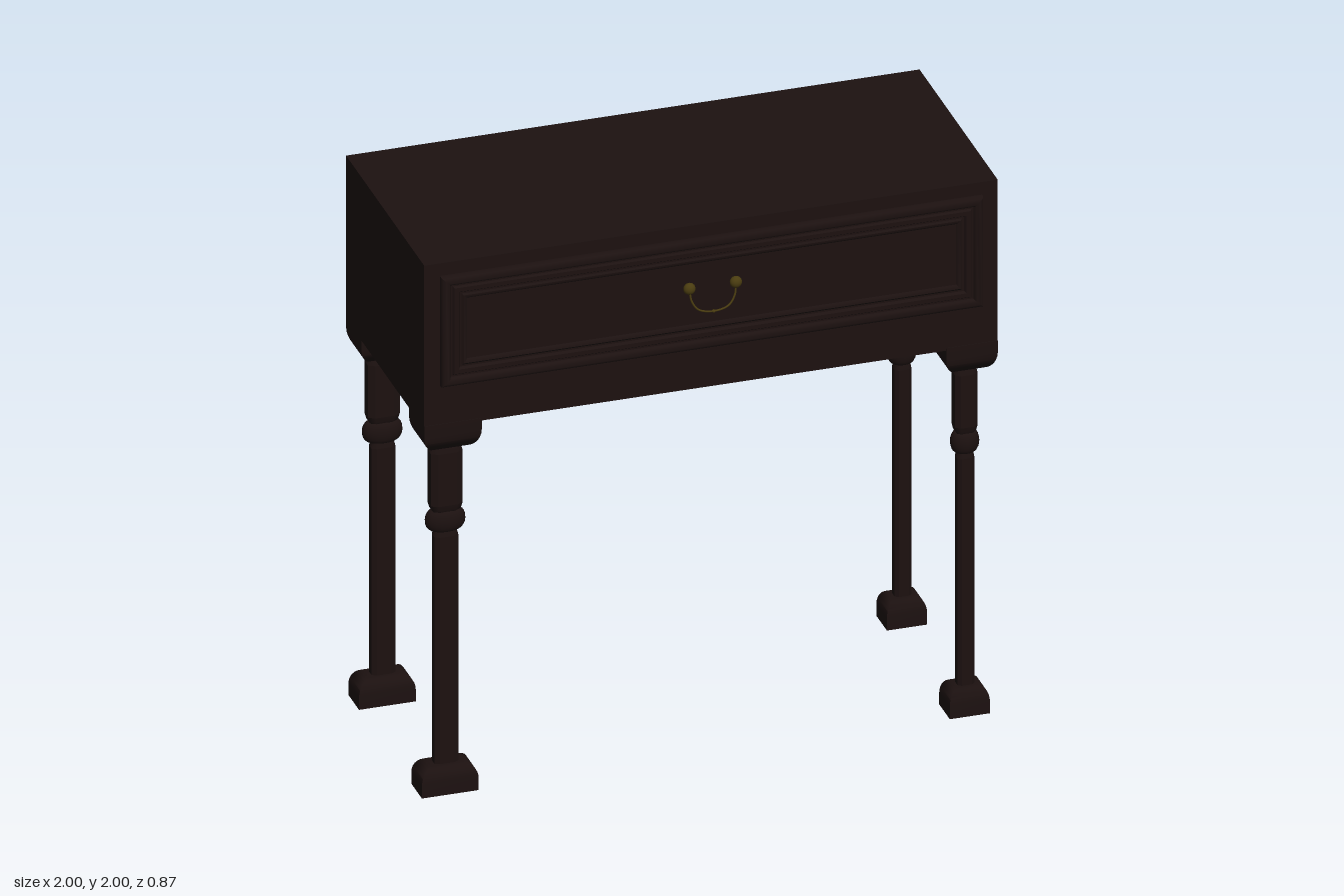
import * as THREE from 'three';
import { toCreasedNormals } from 'three/addons/utils/BufferGeometryUtils.js';

const wood = new THREE.MeshStandardMaterial({ color: 0x1c1110 });
const brass = new THREE.MeshStandardMaterial({ color: 0x4a3c10 });

function add(parent, name, geometry, material = wood) {
  const mesh = new THREE.Mesh(geometry, material);
  mesh.name = name;
  parent.add(mesh);
  return mesh;
}

// Closed loft of rectangles [halfX, halfZ, y]; chamfer is the share cut off each corner
function loft(rows, chamfer = 0) {
  const k = 1 - chamfer;
  const ring = chamfer
    ? [[1, k], [1, -k], [k, -1], [-k, -1], [-1, -k], [-1, k], [-k, 1], [k, 1]]
    : [[1, 1], [1, -1], [-1, -1], [-1, 1]];
  const n = ring.length, pos = [], idx = [];
  for (const [hx, hz, y] of rows) for (const [x, z] of ring) pos.push(x * hx, y, z * hz);
  const last = (rows.length - 1) * n, bottom = rows.length * n, top = bottom + 1;
  pos.push(0, rows[0][2], 0, 0, rows[rows.length - 1][2], 0);
  for (let j = 0; j < n; j++) {
    const q = (j + 1) % n;
    for (let i = 0; i < last; i += n) idx.push(i + j, i + q, i + n + q, i + j, i + n + q, i + n + j);
    idx.push(bottom, q, j, top, last + j, last + q);
  }
  const g = new THREE.BufferGeometry();
  g.setAttribute('position', new THREE.Float32BufferAttribute(pos, 3));
  g.setIndex(idx);
  return toCreasedNormals(g, 0.6);
}

// Square rows whose half width curves along a quarter ellipse from r0 to r1
function shoulder(r0, r1, y0, y1, steps = 7) {
  return Array.from({ length: steps + 1 }, (_, i) => {
    const a = (i / steps) * Math.PI / 2;
    const r = r1 + (r0 - r1) * Math.cos(a);
    return [r, r, y0 + (y1 - y0) * Math.sin(a)];
  });
}
const square = list => list.map(([r, y]) => [r, r, y]);

// One leg of unit width, stretched separately across and in depth
function makeLeg(name, x, z, width, depth) {
  const leg = new THREE.Group();
  leg.name = name;
  add(leg, 'foot', loft([[0.5, 0.5, 0], ...shoulder(0.5, 0.27, 0.045, 0.1)]));
  add(leg, 'shaft', loft(square([[0.21, 0.09], [0.21, 0.945], [0.19, 0.96], [0.16, 0.975]]), 0.4));
  const ring = [new THREE.Vector2(0, 0.965)];
  for (let i = 0; i <= 10; i++) {
    const a = -Math.PI / 2 + (i / 10) * Math.PI;
    ring.push(new THREE.Vector2(0.22 + 0.135 * Math.cos(a), 1.003 + 0.038 * Math.sin(a)));
  }
  ring.push(new THREE.Vector2(0, 1.041));
  add(leg, 'collar', new THREE.LatheGeometry(ring, 20));
  add(leg, 'upperBlock', loft(square([
    [0.2, 1.035], [0.25, 1.045], [0.28, 1.065], [0.28, 1.26], [0.25, 1.28], [0.19, 1.295],
  ]), 0.4));
  leg.position.set(x, 0, z);
  leg.scale.set(width, 1, depth);
  return leg;
}

export function createModel() {
  const model = new THREE.Group();
  model.name = 'sideTable';

  // Case
  add(model, 'case', new THREE.BoxGeometry(2, 0.61, 0.835)).position.set(0, 1.695, -0.0175);

  // Legs and the rounded blocks joining them to the case
  const corner = loft([...shoulder(0.5, 0.24, 1.36, 1.288).reverse(), [0.5, 0.5, 1.4]]);
  for (const [side, x, width, cx, cw] of [['left', 0.91, 0.14, 0.91, 0.18], ['right', -0.902, 0.198, -0.9, 0.2]]) {
    for (const [end, z, cz] of [['front', 0.322, 0.32], ['back', -0.35, -0.3525]]) {
      model.add(makeLeg(`${end}${side}Leg`, x, z, width, 0.113));
      const block = add(model, `${end}${side}CornerBlock`, corner);
      block.position.set(cx, 0, cz);
      block.scale.set(cw, 1, 0.165);
    }
  }

  // Drawer front: moulding steps given as [inset, z]
  const steps = [
    [0, 0.395], [0, 0.414], [0.004, 0.421], [0.012, 0.425], [0.024, 0.425], [0.03, 0.421],
    [0.034, 0.412], [0.04, 0.412], [0.045, 0.419], [0.06, 0.419], [0.066, 0.41],
    [0.072, 0.41], [0.078, 0.415], [0.086, 0.413], [0.092, 0.407],
  ];
  const drawer = add(model, 'drawerFront', loft(steps.map(([d, z]) => [0.945 - d, 0.205 - d, z])));
  drawer.rotation.x = Math.PI / 2;
  drawer.position.y = 1.748;

  // Drawer pull: two knobs and a hanging bail
  const handle = new THREE.Group();
  handle.name = 'drawerPull';
  for (const s of [-1, 1]) {
    const knob = add(handle, 'knob', new THREE.SphereGeometry(0.021, 16, 10), brass);
    knob.position.set(s * 0.081, 1.775, 0.418);
    knob.scale.z = 0.8;
    const post = add(handle, 'post', new THREE.CylinderGeometry(0.01, 0.01, 0.02, 12), brass);
    post.rotation.x = Math.PI / 2;
    post.position.set(s * 0.081, 1.775, 0.408);
  }
  const path = new THREE.CatmullRomCurve3([
    [-0.081, 1.77, 0.42], [-0.075, 1.73, 0.424], [-0.052, 1.697, 0.428], [0, 1.685, 0.43],
    [0.052, 1.697, 0.428], [0.075, 1.73, 0.424], [0.081, 1.77, 0.42],
  ].map(p => new THREE.Vector3(...p)));
  add(handle, 'bail', new THREE.TubeGeometry(path, 32, 0.0035, 8), brass);
  add(handle, 'bailBead', new THREE.SphereGeometry(0.006, 10, 8), brass).position.set(0, 1.685, 0.43);
  model.add(handle);

  return model;
}
